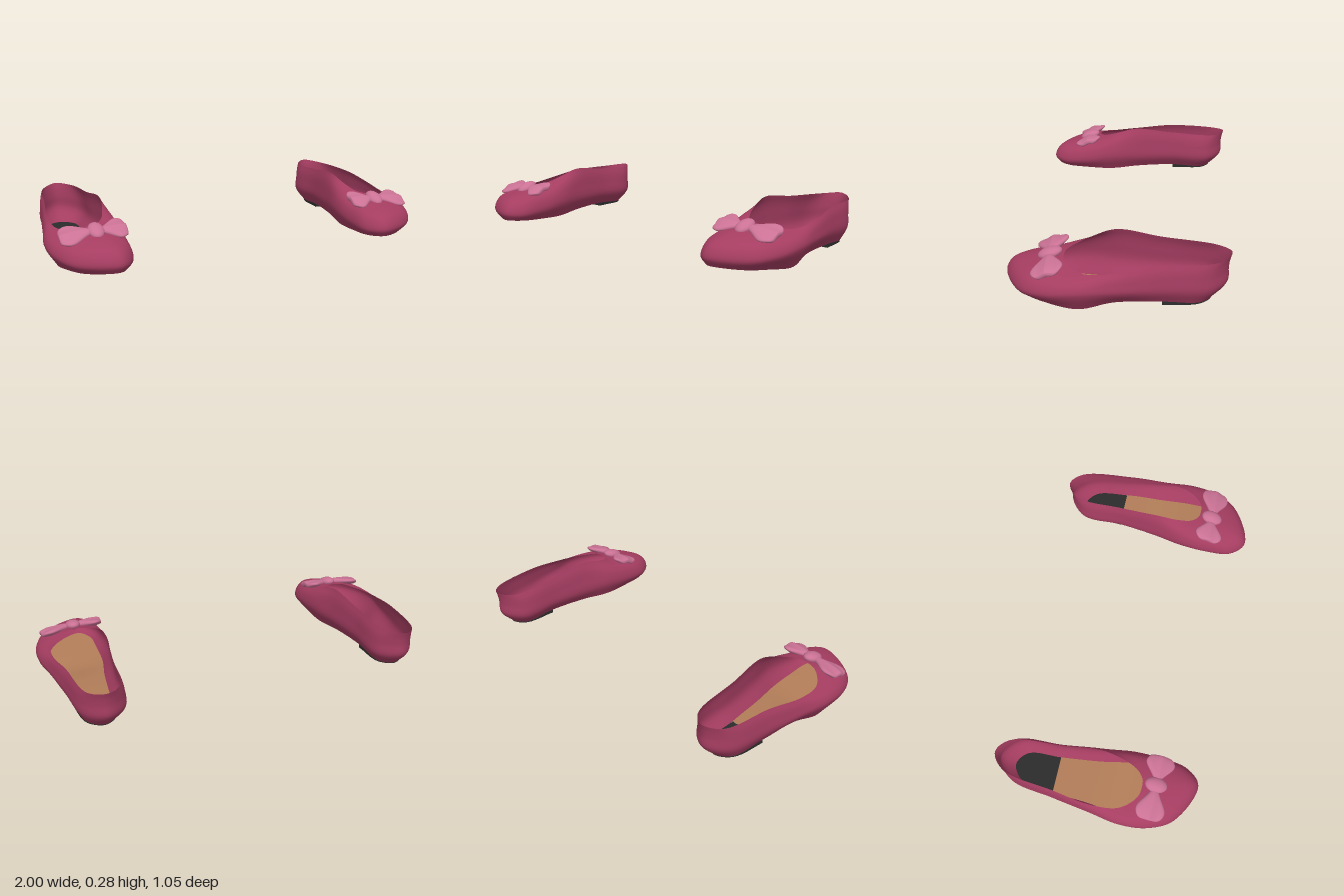
import * as THREE from 'three';

const mat = (name, color, side = THREE.FrontSide) => {
  const m = new THREE.MeshStandardMaterial({ color, side });
  m.name = name;
  return m;
};

// Closed rings of the left shoe: each starts at the back of the heel and runs
// along the outer side to the toe, then back along the inner side.
const ring = points => new THREE.CatmullRomCurve3(points.map(p => new THREE.Vector3(...p)), true);

const soleEdge = ring([
  [.8, .02, -.44], [.875, .022, -.39], [.905, .035, -.215], [.92, .03, 0], [.945, .002, .16], [.925, .018, .31], [.86, .028, .43],
  [.72, .037, .5], [.665, .033, .44], [.655, .025, .31], [.66, .02, .16], [.69, .03, 0], [.715, .035, -.215], [.73, .022, -.39]]);
const widest = ring([
  [.795, .1, -.51], [.895, .09, -.43], [.94, .1, -.2], [.972, .1, 0], [.999, .1, .16], [.983, .085, .31], [.915, .075, .435],
  [.715, .077, .523], [.64, .07, .45], [.62, .08, .31], [.622, .1, .16], [.65, .1, 0], [.675, .1, -.2], [.69, .09, -.43]]);
const rim = ring([
  [.795, .24, -.525], [.875, .228, -.465], [.92, .222, -.2], [.945, .19, 0], [.93, .177, .14], [.88, .185, .21], [.84, .195, .235],
  [.8, .2, .24], [.765, .205, .235], [.725, .215, .2], [.695, .245, .12], [.68, .278, .01], [.695, .255, -.2], [.72, .235, -.465]]);

const HEEL = 2 / 14; // ring parameter where the heel front crosses

// Grid surface from a point function; wrap closes it in the u direction
function gridSurface(nu, nv, wrap, point) {
  const pos = [], idx = [], cols = wrap ? nu : nu + 1;
  for (let j = 0; j <= nv; j++)
    for (let i = 0; i < cols; i++) pos.push(...point(i / nu, j / nv).toArray());
  for (let j = 0; j < nv; j++)
    for (let i = 0; i < nu; i++) {
      const n = (i + 1) % cols, a = j * cols + i, b = j * cols + n;
      const c = a + cols, d = b + cols;
      idx.push(a, c, b, b, c, d);
    }
  const g = new THREE.BufferGeometry();
  g.setAttribute('position', new THREE.Float32BufferAttribute(pos, 3));
  g.setIndex(idx);
  g.computeVertexNormals();
  return g;
}

// Wall that rises from the sole edge, bulges at the widest ring and rounds over to the rim
function upperGeometry() {
  const nu = 112;
  const profiles = Array.from({ length: nu }, (_, i) => {
    const u = i / nu, w = widest.getPoint(u), r = rim.getPoint(u);
    const between = (inward, up) => {
      const p = w.clone().lerp(r, inward);
      p.y = THREE.MathUtils.lerp(w.y, r.y, up);
      return p;
    };
    return new THREE.CatmullRomCurve3([soleEdge.getPoint(u), w, between(.1, .45), between(.42, .76), r]);
  });
  return gridSurface(nu, 20, true, (u, v) => profiles[Math.round(u * nu)].getPoint(v));
}

// Sheet spanning the sole edge from the heel front to the toe
function soleGeometry() {
  return gridSurface(40, 6, false, (u, v) => {
    const t = THREE.MathUtils.lerp(HEEL, .5, u);
    return soleEdge.getPoint(t).lerp(soleEdge.getPoint(1 - t), v);
  });
}

// Flat heel block following the back of the sole edge
function heelGeometry() {
  const pts = [];
  for (let i = -12; i <= 12; i++) {
    const p = soleEdge.getPoint((i / 12 * HEEL + 1) % 1);
    pts.push(new THREE.Vector2(p.x, -p.z));
  }
  return new THREE.ExtrudeGeometry(new THREE.Shape(pts), { depth: .018, bevelEnabled: false })
    .rotateX(-Math.PI / 2).translate(0, .016, 0);
}

// Puffed bow loop that widens away from the knot
function loopGeometry(length, dir, droop) {
  const g = new THREE.SphereGeometry(1, 28, 20).rotateZ(-Math.PI / 2), p = g.attributes.position;
  for (let i = 0; i < p.count; i++) {
    const s = (p.getX(i) + 1) / 2, y = p.getY(i), z = p.getZ(i);
    const r = Math.hypot(y, z), k = r > 1e-5 ? Math.pow(r, .45) / r : 0;
    const w = THREE.MathUtils.lerp(.03, .082, THREE.MathUtils.smoothstep(s, 0, .75));
    const pleat = .004 * Math.cos(z * k * 7) * s;
    p.setXYZ(i, s * length, y * k * .02 + pleat, z * k * w);
  }
  g.computeVertexNormals();
  if (dir < 0) g.rotateY(Math.PI);
  return g.rotateZ(-droop * dir).rotateX(.32).translate(.777 + dir * .025, .193, .308);
}

// Mirror a geometry across x = 0 and restore its winding
function mirrored(geo) {
  const g = geo.clone().scale(-1, 1, 1);
  const src = g.index ? Array.from(g.index.array) : Array.from({ length: g.attributes.position.count }, (_, i) => i);
  for (let i = 0; i < src.length; i += 3) [src[i + 1], src[i + 2]] = [src[i + 2], src[i + 1]];
  g.setIndex(src);
  return g;
}

export function createModel() {
  const red = mat('raspberry leather', 0xa53d61, THREE.DoubleSide);
  const tan = mat('tan sole', 0xb27d58, THREE.DoubleSide);
  const black = mat('black heel', 0x2c2c2c);
  const pink = mat('pink ribbon', 0xcb7295);

  const parts = [
    ['upper', upperGeometry(), red],
    ['sole', soleGeometry(), tan],
    ['heel', heelGeometry(), black],
    ['bowOuterLoop', loopGeometry(.155, 1, .13), pink],
    ['bowInnerLoop', loopGeometry(.125, -1, -.02), pink],
    ['bowKnot', new THREE.SphereGeometry(1, 24, 16).scale(.04, .026, .06).rotateX(.32).translate(.777, .195, .308), pink],
  ];

  const model = new THREE.Group();
  model.name = 'pairOfFlats';
  for (const side of ['left', 'right']) {
    const shoe = new THREE.Group();
    shoe.name = side + 'Shoe';
    for (const [name, geo, material] of parts) {
      const mesh = new THREE.Mesh(side === 'left' ? geo : mirrored(geo), material);
      mesh.name = name;
      shoe.add(mesh);
    }
    model.add(shoe);
  }
  return model;
}
